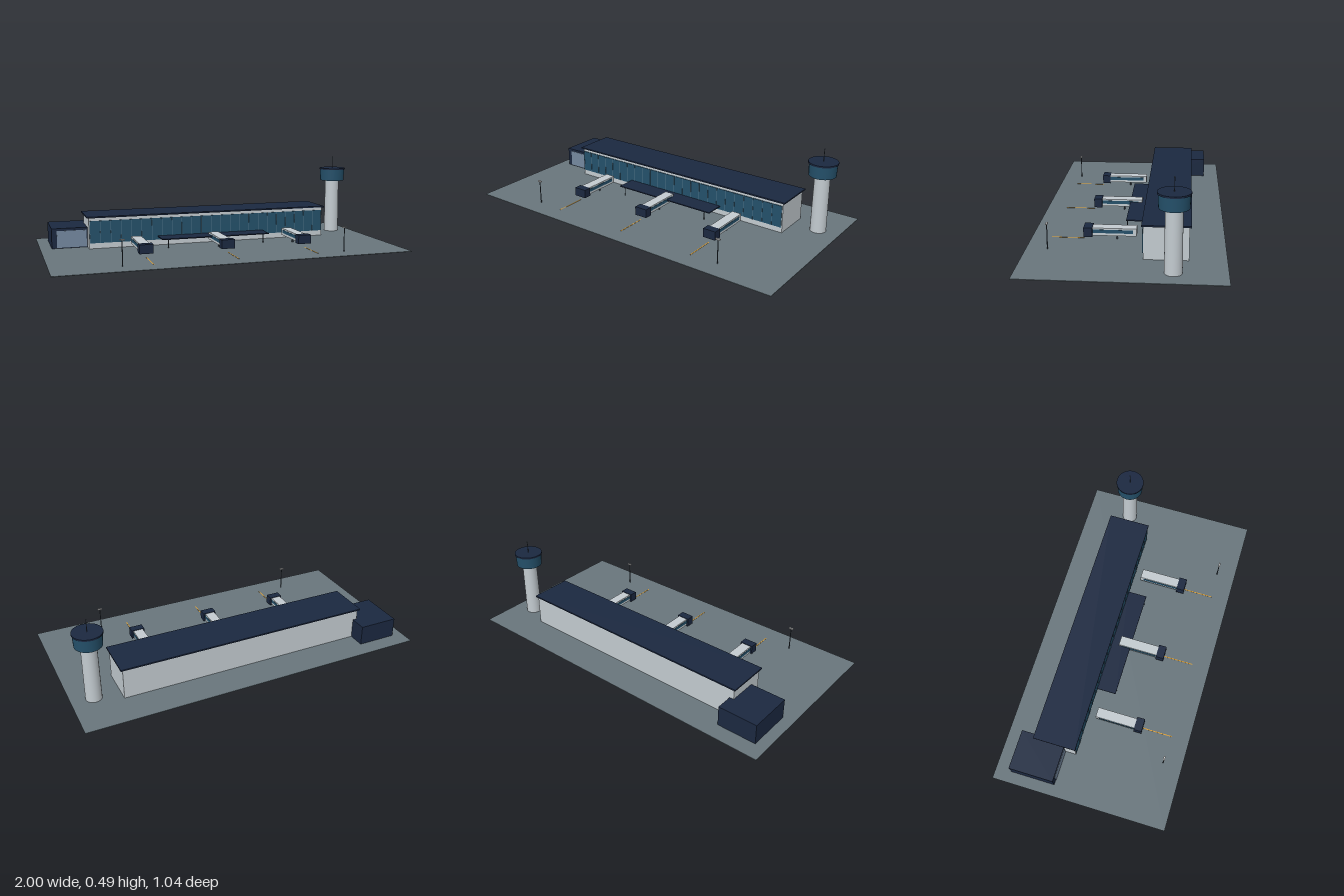
import * as THREE from 'three';

const paint = (color, side = THREE.FrontSide) => new THREE.MeshStandardMaterial({ color, side });

export function createModel() {
  const model = new THREE.Group();
  const navy = paint(0x1b2840), wall = paint(0xc3cbd0), glass = paint(0x24506a);
  const steel = paint(0x3b4650), apron = paint(0x68757c), yellow = paint(0xe0a030);
  const frame = paint(0x4d7186), door = paint(0x7589a0), lamp = paint(0xd8dcd8);

  const add = (parent, name, geometry, material, x, y, z) => {
    const mesh = new THREE.Mesh(geometry, material);
    mesh.name = name;
    mesh.position.set(x, y, z);
    parent.add(mesh);
    return mesh;
  };
  // Box given by its extents along each axis
  const box = (parent, name, material, [x0, x1], [y0, y1], [z0, z1]) =>
    add(parent, name, new THREE.BoxGeometry(x1 - x0, y1 - y0, z1 - z0), material,
      (x0 + x1) / 2, (y0 + y1) / 2, (z0 + z1) / 2);
  // Upright round part from y0 to y1
  const post = (parent, name, material, rTop, rBottom, y0, y1, x, z, sides = 12) =>
    add(parent, name, new THREE.CylinderGeometry(rTop, rBottom, y1 - y0, sides), material,
      x, (y0 + y1) / 2, z);
  const group = (name) => {
    const g = new THREE.Group();
    g.name = name;
    model.add(g);
    return g;
  };

  box(model, 'apron', apron, [-1, 1], [0, 0.004], [-0.518, 0.518]);

  // Terminal hall with a glazed front
  const hall = group('terminal');
  box(hall, 'hallWalls', wall, [-0.73, 0.73], [0.004, 0.183], [-0.326, -0.096]);
  box(hall, 'hallRoof', navy, [-0.742, 0.742], [0.182, 0.19], [-0.336, -0.087]);
  box(hall, 'frontGlazing', glass, [-0.725, 0.725], [0.036, 0.165], [-0.097, -0.092]);
  const bays = 24;
  for (let i = 0; i <= bays; i++) {
    const x = -0.725 + (1.45 * i) / bays;
    box(hall, 'mullion', frame, [x - 0.0015, x + 0.0015], [0.036, 0.165], [-0.094, -0.09]);
  }

  // Entrance canopy
  const canopy = group('canopy');
  box(canopy, 'canopyRoof', navy, [-0.328, 0.328], [0.053, 0.059], [-0.096, 0.022]);
  for (const x of [-0.292, 0.292])
    post(canopy, 'canopyPost', steel, 0.0025, 0.0025, 0.004, 0.054, x, 0.018);

  // Boarding bridges with lead-in lines
  for (const x of [-0.467, 0, 0.467]) {
    const bridge = group('boardingBridge');
    box(bridge, 'bridgeTunnel', wall, [x - 0.029, x + 0.029], [0.031, 0.073], [-0.048, 0.19]);
    for (const s of [-1, 1])
      add(bridge, 'bridgeWindow', new THREE.BoxGeometry(0.002, 0.019, 0.215), glass,
        x + s * 0.0295, 0.055, 0.08);
    box(bridge, 'bridgeCab', navy, [x - 0.039, x + 0.039], [0.025, 0.076], [0.188, 0.235]);
    post(bridge, 'bridgeLeg', steel, 0.005, 0.005, 0.004, 0.032, x, 0.058);
    box(model, 'leadInLine', yellow, [x - 0.0025, x + 0.0025], [0.004, 0.0052], [0.235, 0.412]);
  }

  // Side hangar
  const hangar = group('hangar');
  box(hangar, 'hangarBody', navy, [-0.934, -0.705], [0.004, 0.12], [-0.424, -0.162]);
  box(hangar, 'hangarDoor', door, [-0.905, -0.735], [0.008, 0.106], [-0.163, -0.159]);

  // Control tower
  const tower = group('controlTower');
  const tx = 0.875, tz = -0.25;
  post(tower, 'towerShaft', wall, 0.043, 0.045, 0.004, 0.336, tx, tz, 32);
  post(tower, 'towerCab', glass, 0.078, 0.075, 0.335, 0.406, tx, tz, 32);
  post(tower, 'towerRoof', navy, 0.082, 0.082, 0.405, 0.414, tx, tz, 32);
  post(tower, 'antenna', steel, 0.002, 0.002, 0.413, 0.485, tx, tz, 8);
  add(tower, 'antennaTip', new THREE.SphereGeometry(0.0035, 10, 8), steel, tx, 0.484, tz);

  // Apron floodlights
  for (const x of [-0.63, 0.63]) {
    const light = group('floodlight');
    post(light, 'lightPole', steel, 0.0025, 0.003, 0.004, 0.142, x, 0.405, 8);
    box(light, 'lampHead', lamp, [x - 0.013, x + 0.013], [0.14, 0.146], [0.4, 0.41]);
  }

  return model;
}
